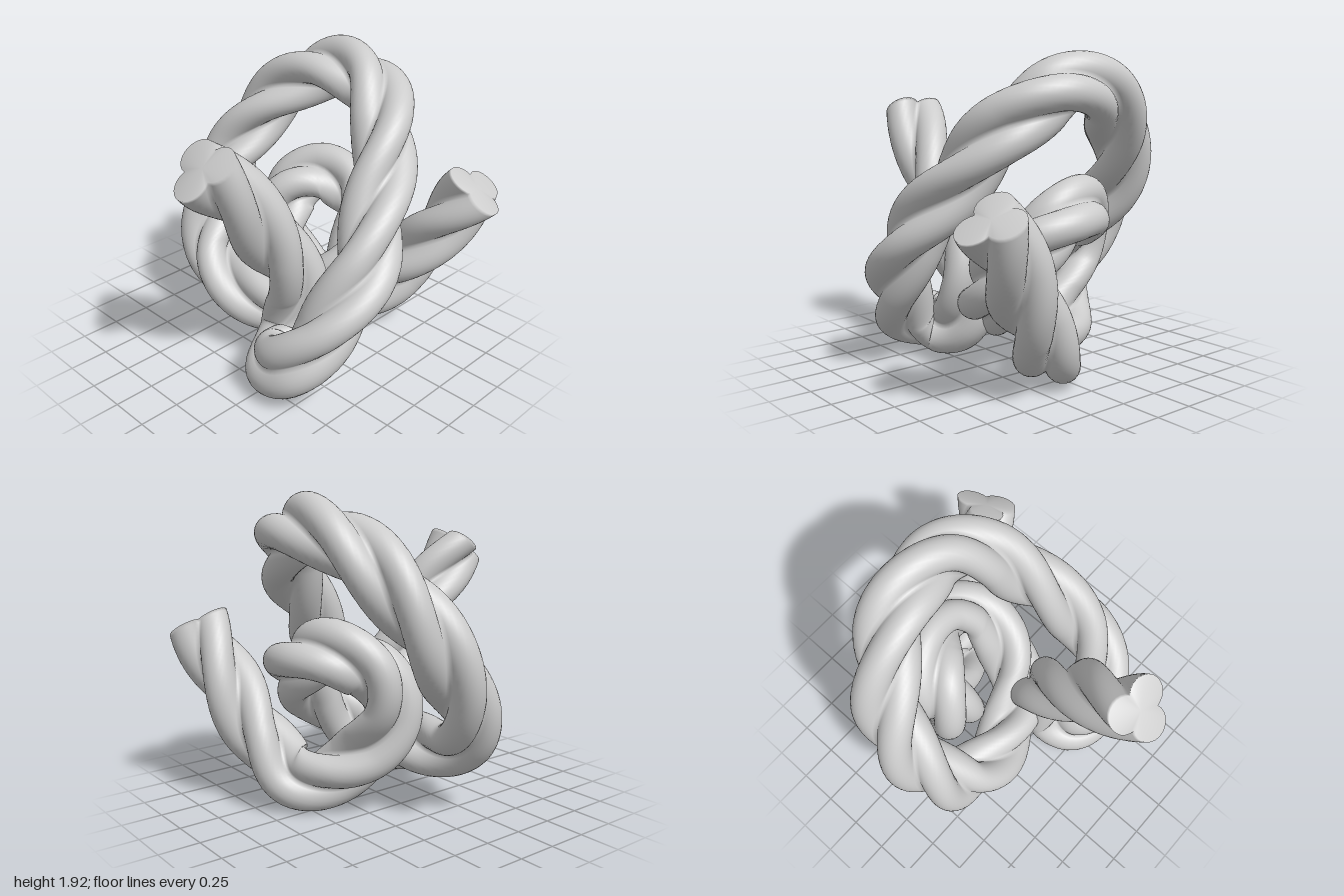
import * as THREE from 'three';

const LOBES = 3, LOBE_OFFSET = 0.1, LOBE_RADIUS = 0.108;
const PITCH = 1.67, TIGHTENING = 0.07, STEPS = 480, SIDES = 42;

// Centre line of the knot, from the front end to the back end
const PATH = [
  [0.17, 1.54, 0.85], [0.19, 1.22, 0.58], [0.2, 0.88, 0.35], [0.19, 0.52, 0.18],
  [0.2, 0.26, 0.23], [0.26, 0.18, 0.43], [0.42, 0.26, 0.49], [0.59, 0.49, 0.36],
  [0.65, 0.81, 0.12], [0.51, 1.2, -0.18], [0.34, 1.51, -0.41], [0.08, 1.69, -0.54],
  [-0.25, 1.69, -0.52], [-0.55, 1.48, -0.39], [-0.73, 1.15, -0.2], [-0.74, 0.8, 0.03],
  [-0.6, 0.5, 0.18], [-0.32, 0.36, 0.21], [-0.02, 0.34, 0.12], [0.2, 0.45, -0.07],
  [0.27, 0.65, -0.27], [0.2, 0.83, -0.46], [0.02, 0.95, -0.52], [-0.18, 1.0, -0.44],
  [-0.32, 0.91, -0.28], [-0.34, 0.68, -0.18], [-0.25, 0.43, -0.21], [-0.1, 0.26, -0.34],
  [0.12, 0.2, -0.53], [0.34, 0.43, -0.65], [0.56, 0.77, -0.75], [0.77, 1.08, -0.82],
];

// Outline of three overlapping round strands
function strandRadius(angle) {
  const sector = (2 * Math.PI) / LOBES;
  const a = angle - Math.round(angle / sector) * sector;
  const s = LOBE_OFFSET * Math.sin(a);
  return LOBE_OFFSET * Math.cos(a) + Math.sqrt(LOBE_RADIUS ** 2 - s * s);
}

function ropePoints() {
  const curve = new THREE.CatmullRomCurve3(PATH.map((p) => new THREE.Vector3(...p)));
  curve.arcLengthDivisions = 1000;
  const { normals, binormals } = curve.computeFrenetFrames(STEPS, false);
  const angleOf = (v, i) => Math.atan2(v.dot(binormals[i]), v.dot(normals[i]));

  // Twist that brings a strand to the wanted direction at both ends
  const start = angleOf(new THREE.Vector3(0, -0.7, 0.65), 0);
  const end = angleOf(new THREE.Vector3(0, 0.2, -1), STEPS);
  const sector = (2 * Math.PI) / LOBES;
  const wanted = (curve.getLength() / PITCH) * 2 * Math.PI;
  const twist = end - start + Math.round((wanted - end + start) / sector) * sector;

  const points = [];
  for (let i = 0; i <= STEPS; i++) {
    const t = i / STEPS;
    const centre = curve.getPointAt(t);
    // The twist tightens slightly towards the back end
    const phase = start + twist * (t + TIGHTENING * t * (t - 1));
    for (let j = 0; j < SIDES; j++) {
      const a = (j / SIDES) * 2 * Math.PI;
      const r = strandRadius(a);
      points.push(centre.clone()
        .addScaledVector(normals[i], r * Math.cos(a + phase))
        .addScaledVector(binormals[i], r * Math.sin(a + phase)));
    }
  }
  // Middles of the two cut ends
  points.push(curve.getPointAt(0), curve.getPointAt(1));
  return points;
}

// Rope skin with softly shaded ends
function ropeGeometry() {
  const points = ropePoints();
  const index = [];
  const last = STEPS * SIDES;
  const startCentre = points.length - 2, endCentre = points.length - 1;
  for (let j = 0; j < SIDES; j++) {
    const k = (j + 1) % SIDES;
    for (let row = 0; row < last; row += SIDES) {
      const a = row + j, b = row + k;
      index.push(a, b, a + SIDES, b, b + SIDES, a + SIDES);
    }
    index.push(startCentre, k, j, endCentre, last + j, last + k);
  }
  const geometry = new THREE.BufferGeometry().setFromPoints(points);
  geometry.setIndex(index);
  geometry.computeVertexNormals();
  return geometry;
}

export function createModel() {
  const group = new THREE.Group();
  group.name = 'knottedRope';
  const rope = new THREE.Mesh(ropeGeometry(), new THREE.MeshStandardMaterial({ color: 0xcccccc }));
  rope.name = 'twistedRope';
  group.add(rope);
  return group;
}
